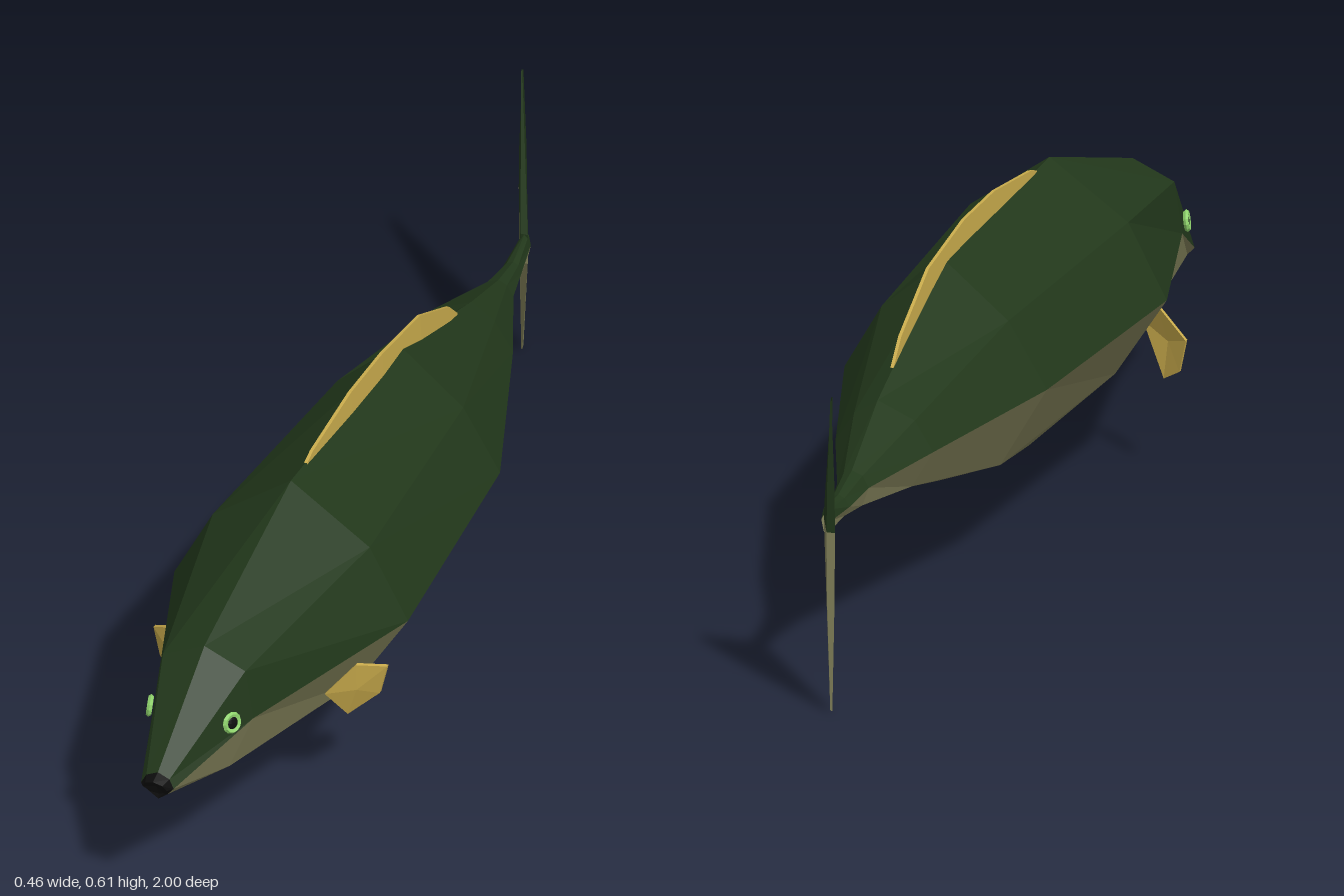
import * as THREE from 'three';

const material = (color) => new THREE.MeshStandardMaterial({
  color, flatShading: true, roughness: 0.9, side: THREE.DoubleSide,
});
const GREEN = material(0x22381b), BELLY = material(0x85845c), FIN = material(0xc9ab4c);
const BLACK = material(0x0d0d0d), IRIS = material(0x8fd46c);

// Skin a list of rows of points with flat triangles
function loft(rows) {
  const pos = [];
  for (let i = 0; i < rows.length - 1; i++) {
    for (let j = 0; j < rows[i].length - 1; j++) {
      const a = rows[i][j], b = rows[i + 1][j], c = rows[i][j + 1], d = rows[i + 1][j + 1];
      pos.push(...a, ...b, ...c, ...b, ...d, ...c);
    }
  }
  const geo = new THREE.BufferGeometry();
  geo.setAttribute('position', new THREE.Float32BufferAttribute(pos, 3));
  geo.computeVertexNormals();
  return geo;
}

function add(parent, name, geo, mat) {
  const mesh = new THREE.Mesh(geo, mat);
  mesh.name = name;
  parent.add(mesh);
  return mesh;
}

// Body stations: z, then [x, y] ridge, [x+, x-, y] shoulder, flank and lower flank, [x, y, z] keel
const STATIONS = [
  { z: 0.975, top: [-0.03, 0.285], sh: [-0.008, -0.052, 0.275], side: [0, -0.062, 0.257], low: [-0.012, -0.048, 0.243], keel: [-0.025, 0.237, 0.985] },
  { z: 0.82, top: [-0.003, 0.465], sh: [0.075, -0.082, 0.43], side: [0.09, -0.097, 0.335], low: [0.045, -0.065, 0.225], keel: [0.004, 0.163, 0.7] },
  { z: 0.43, top: [0.007, 0.585], sh: [0.157, -0.142, 0.48], side: [0.23, -0.215, 0.343], low: [0.135, -0.117, 0.195], keel: [0.008, 0.078, 0.33] },
  { z: -0.1, top: [0.006, 0.555], sh: [0.125, -0.115, 0.455], side: [0.195, -0.188, 0.335], low: [0.11, -0.1, 0.185], keel: [0.005, 0.153, -0.13] },
  { z: -0.49, top: [-0.015, 0.415], sh: [0.03, -0.085, 0.385], side: [0.065, -0.12, 0.33], low: [0.025, -0.08, 0.262], keel: [-0.02, 0.248, -0.49] },
  { z: -0.68, top: [-0.038, 0.345], sh: [-0.022, -0.058, 0.337], side: [-0.01, -0.07, 0.316], low: [-0.022, -0.058, 0.282], keel: [-0.038, 0.271, -0.68] },
  { z: -0.77, top: [-0.046, 0.328], sh: [-0.036, -0.058, 0.323], side: [-0.03, -0.068, 0.308], low: [-0.036, -0.058, 0.29], keel: [-0.046, 0.28, -0.77] },
  { z: -0.86, top: [-0.058, 0.336], sh: [-0.052, -0.064, 0.33], side: [-0.048, -0.068, 0.31], low: [-0.052, -0.064, 0.29], keel: [-0.058, 0.276, -0.86] },
];
const upperRow = ({ z, top, sh, side }) => [
  [side[0], side[2], z], [sh[0], sh[2], z], [...top, z], [sh[1], sh[2], z], [side[1], side[2], z],
];
const lowerRow = ({ z, side, low, keel }) => [
  [side[1], side[2], z], [low[1], low[2], z], keel, [low[0], low[2], z], [side[0], side[2], z],
];

function addMouth(fish) {
  // Blunt dark snout tip closing the front station
  const rim = [...upperRow(STATIONS[0]), ...lowerRow(STATIONS[0]).slice(1)];
  const cx = -0.03, cy = 0.262;
  const tip = rim.map(([x, y]) => [cx + (x - cx) * 0.75, cy + (y - cy) * 0.7, 0.99 + (y - cy) * 0.4]);
  add(fish, 'mouth', loft([tip.map(() => [cx, cy, 0.985]), tip, rim]), BLACK);
}

function addTail(fish) {
  // Swept blade: [leading y, leading z, trailing y, half thickness]
  const ring = ([yf, zf, yt, h]) => {
    const xf = -0.057 - 0.06 * (-0.85 - zf) / 0.14, xt = -0.118, zt = -0.998;
    return [[xf + h, yf, zf], [xt + h, yt, zt], [xt - h, yt, zt], [xf - h, yf, zf], [xf + h, yf, zf]];
  };
  const mid = [0.31, -0.85, 0.335, 0.008];
  add(fish, 'upperTail', loft([mid, [0.336, -0.85, 0.42, 0.007], [0.585, -0.99, 0.58, 0.001]].map(ring)), GREEN);
  add(fish, 'lowerTail', loft([[0, -0.99, 0.004, 0.001], [0.276, -0.85, 0.2, 0.007], mid].map(ring)), BELLY);
}

function addDorsalFin(fish) {
  // Thin crest following the back: z, crest y, x
  const crest = [
    [0.36, 0.581, 0.007], [0.33, 0.59, 0.007], [0.15, 0.607, 0.008], [0, 0.6, 0.008],
    [-0.19, 0.567, 0.004], [-0.35, 0.49, -0.004], [-0.4, 0.447, -0.008],
  ];
  add(fish, 'dorsalFin', loft(crest.map(([z, y, x]) => [
    [x + 0.006, y - 0.06, z], [x + 0.003, y, z], [x - 0.003, y, z], [x - 0.006, y - 0.06, z],
  ])), FIN);
}

// Side fins: small cupped fans
const SIDE_FINS = {
  leftSideFin: [[0.127, 0.248, 0.57], [0.17, 0.295, 0.53], [0.203, 0.26, 0.462], [0.188, 0.2, 0.46], [0.147, 0.176, 0.51]],
  rightSideFin: [[-0.12, 0.255, 0.57], [-0.158, 0.3, 0.535], [-0.233, 0.255, 0.485], [-0.222, 0.197, 0.482], [-0.18, 0.17, 0.515]],
};
function addSideFins(fish) {
  for (const [name, pts] of Object.entries(SIDE_FINS)) {
    const centre = [0, 1, 2].map((k) => pts.reduce((s, p) => s + p[k], 0) / pts.length);
    centre[2] += 0.012;
    const rim = [...pts, pts[0]];
    const back = rim.map(([x, y, z]) => [x, y, z - 0.008]);
    add(fish, name, loft([rim.map(() => centre), rim, back, rim.map(() => [centre[0], centre[1], centre[2] - 0.008])]), FIN);
  }
}

function addEyes(fish) {
  const eyes = [['leftEye', [0.065, 0.345, 0.862], [0.86, 0.2, 0.47]], ['rightEye', [-0.088, 0.345, 0.862], [-0.95, 0.12, 0.27]]];
  for (const [name, at, out] of eyes) {
    const eye = new THREE.Group();
    eye.name = name;
    const normal = new THREE.Vector3(...out).normalize();
    eye.position.set(...at).addScaledVector(normal, 0.002);
    eye.quaternion.setFromUnitVectors(new THREE.Vector3(0, 0, 1), normal);
    add(eye, 'iris', new THREE.TorusGeometry(0.0155, 0.005, 5, 12), IRIS);
    add(eye, 'pupil', new THREE.SphereGeometry(0.0135, 10, 6), BLACK).scale.z = 0.3;
    fish.add(eye);
  }
}

export function createModel() {
  const fish = new THREE.Group();
  fish.name = 'fish';
  add(fish, 'back', loft(STATIONS.map(upperRow)), GREEN);
  add(fish, 'belly', loft(STATIONS.map(lowerRow)), BELLY);
  addMouth(fish);
  addTail(fish);
  addDorsalFin(fish);
  addSideFins(fish);
  addEyes(fish);
  return fish;
}
